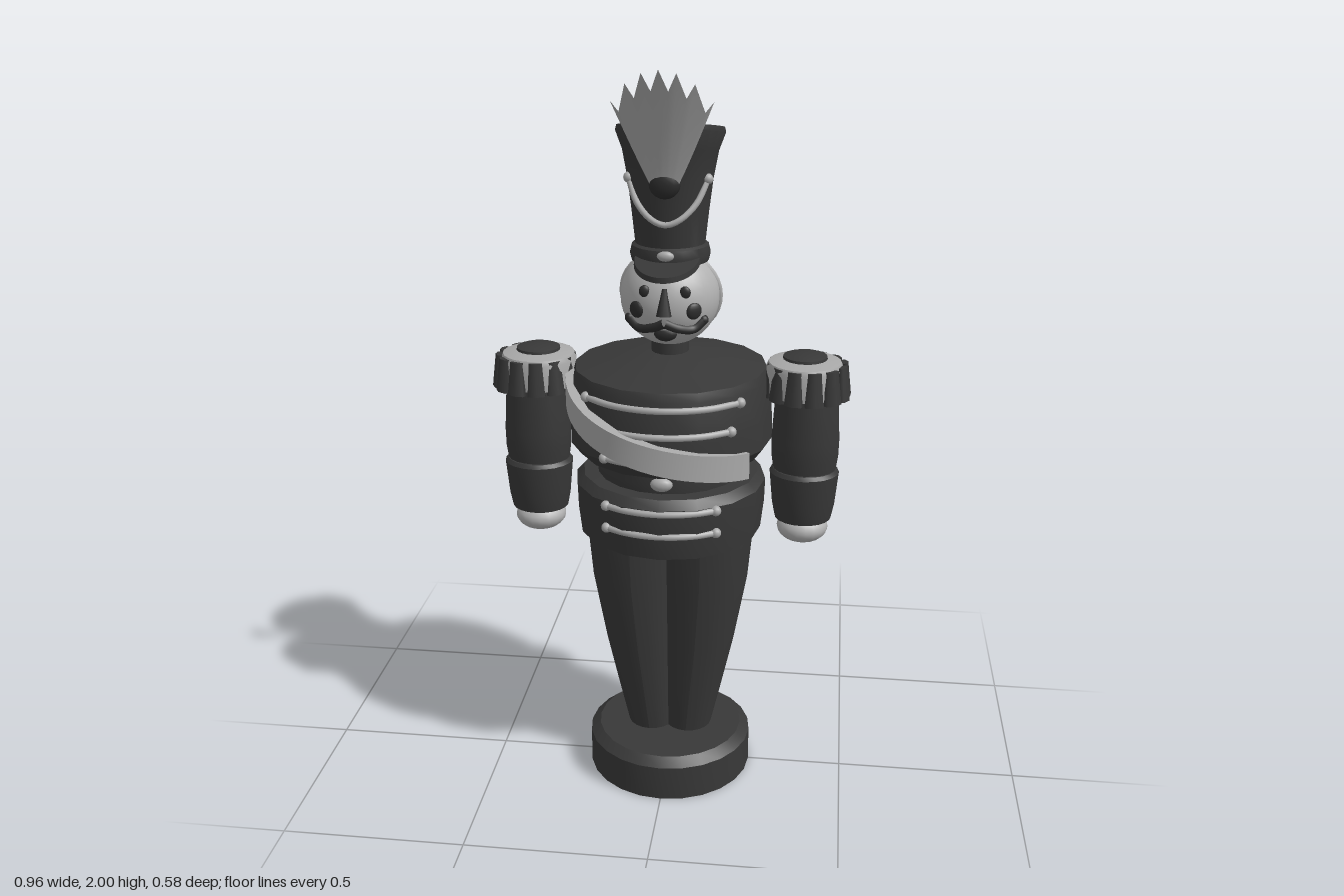
import * as THREE from 'three';
import { toCreasedNormals } from 'three/addons/utils/BufferGeometryUtils.js';

const mat = (name, color, side = THREE.FrontSide) => {
  const m = new THREE.MeshStandardMaterial({ color, side });
  m.name = name;
  return m;
};

export function createModel() {
  const coat = mat('coat', 0x383838, THREE.DoubleSide);
  const black = mat('black', 0x2c2c2c);
  const skin = mat('skin', 0xb2b2b2);
  const trim = mat('trim', 0xa8a8a8, THREE.DoubleSide);
  const root = new THREE.Group();

  const add = (name, geo, material, x = 0, y = 0, z = 0, parent = root) => {
    const m = new THREE.Mesh(geo, material);
    m.name = name;
    m.position.set(x, y, z);
    parent.add(m);
    return m;
  };
  // Turned profile, listed from bottom to top as [radius, height]
  const turned = (pts, seg = 20) => toCreasedNormals(
    new THREE.LatheGeometry(pts.map(p => new THREE.Vector2(...p)), seg), 0.6);
  const ball = (name, r, material, p, scale = [1, 1, 1]) => {
    const m = add(name, new THREE.SphereGeometry(r, 14, 10), material, ...p);
    m.scale.set(...scale);
    return m;
  };
  const tube = (name, pts, r, material) => add(name, new THREE.TubeGeometry(
    new THREE.CatmullRomCurve3(pts.map(p => new THREE.Vector3(...p))), 24, r, 8), material);

  // Round base, hollow underneath
  add('base', turned([[0.232, 0], [0.232, 0.1], [0.205, 0.122], [0, 0.122]], 24), coat);

  // Legs: tapering columns leaning outwards to the hips
  const rows = [[0.11, 0.052, 0.065], [0.25, 0.065, 0.084], [0.4, 0.08, 0.102],
    [0.6, 0.094, 0.124], [0.78, 0.098, 0.136]];
  for (const s of [1, -1]) {
    const g = new THREE.LatheGeometry(rows.map(r => new THREE.Vector2(r[2], r[0])), 20);
    const p = g.attributes.position;
    for (let i = 0; i < p.count; i++) {
      p.setX(i, p.getX(i) + s * rows[i % rows.length][1]);
    }
    g.computeVertexNormals();
    add(s > 0 ? 'leftLeg' : 'rightLeg', g, coat);
  }

  // Coat
  add('coatSkirt', turned([[0, 0.752], [0.25, 0.752], [0.259, 0.83], [0.261, 0.895],
    [0.24, 0.918], [0, 0.925]], 16), coat, 0, 0, -0.008);
  add('waist', turned([[0.197, 0.91], [0.2, 0.94], [0.197, 0.99]], 20), coat, 0, 0, -0.005);
  add('chest', turned([[0, 0.965], [0.2, 0.967], [0.25, 0.98], [0.276, 1.015], [0.274, 1.08],
    [0.266, 1.19], [0.258, 1.213], [0.16, 1.235], [0.06, 1.256], [0, 1.257]], 16), coat, 0, 0, -0.014);
  add('neck', turned([[0.05, 1.24], [0.05, 1.31]], 16), coat);
  ball('buckle', 0.03, trim, [0, 0.945, 0.19], [1, 0.65, 0.6]);

  // Horizontal braids with end knobs: height, half width, radius
  const braids = [[1.17, 0.2, 0.265], [1.1, 0.18, 0.27], [1.025, 0.145, 0.275],
    [0.885, 0.145, 0.262], [0.82, 0.145, 0.258]];
  for (const [y, w, r] of braids) {
    const at = x => [x, y, Math.sqrt(r * r - x * x) - 0.012];
    tube('braid', [-1, -0.66, -0.33, 0, 0.33, 0.66, 1].map(k => at(k * w)), 0.009, trim);
    for (const s of [-1, 1]) ball('braidKnob', 0.014, trim, at(s * w));
  }

  // Sash: rectangular section swept around the chest
  const pos = [], idx = [], n = 24;
  for (let i = 0; i <= n; i++) {
    const t = i / n, a = THREE.MathUtils.degToRad(-82 + 136 * t);
    const y = 1.165 - 0.17 * t - 0.02 * Math.sin(Math.PI * t);
    const r = 0.28 + 0.014 * Math.sin(Math.PI * t);
    for (const [dr, dy] of [[0, 0.036], [0, -0.036], [-0.035, -0.036], [-0.035, 0.036]]) {
      pos.push(Math.sin(a) * (r + dr), y + dy, Math.cos(a) * (r + dr) - 0.008);
    }
    if (i < n) for (let k = 0; k < 4; k++) {
      const p = i * 4 + k, q = i * 4 + (k + 1) % 4;
      idx.push(p, q, p + 4, q, q + 4, p + 4);
    }
  }
  idx.push(0, 3, 1, 1, 3, 2, n * 4, n * 4 + 1, n * 4 + 3, n * 4 + 1, n * 4 + 2, n * 4 + 3);
  const sash = new THREE.BufferGeometry();
  sash.setAttribute('position', new THREE.Float32BufferAttribute(pos, 3));
  sash.setIndex(idx);
  add('sash', toCreasedNormals(sash, 0.6), trim);

  // Arms with cuffs, hands and fringed epaulettes
  for (const s of [1, -1]) {
    const arm = new THREE.Group();
    arm.name = s > 0 ? 'leftArm' : 'rightArm';
    arm.position.set(s * 0.366, 0, -0.006);
    root.add(arm);
    const sleeve = add('sleeve', turned([[0.08, 0.9], [0.09, 0.97], [0.091, 1.02],
      [0.086, 1.1], [0.08, 1.2]]), coat, 0, 0, 0, arm);
    sleeve.scale.z = 0.86;
    const cuff = add('cuff', turned([[0, 0.79], [0.077, 0.79], [0.085, 0.83], [0.094, 0.925],
      [0.086, 0.935], [0, 0.935]]), coat, 0, 0, 0, arm);
    cuff.scale.z = 0.93;
    const hand = add('hand', new THREE.SphereGeometry(0.07, 18, 12), skin, 0, 0.762, 0, arm);
    hand.scale.y = 0.62;
    add('epaulette', turned([[0, 1.15], [0.1, 1.15], [0.102, 1.222], [0.096, 1.235],
      [0.06, 1.243], [0, 1.243]], 24), trim, -s * 0.008, 0, 0, arm);
    add('epauletteCap', turned([[0.06, 1.235], [0.058, 1.25], [0.04, 1.256], [0, 1.258]]),
      coat, -s * 0.008, 0, 0, arm);
    for (let i = 0; i < 12; i++) {
      const a = i / 12 * Math.PI * 2 + 0.2;
      const f = add('fringe', new THREE.CylinderGeometry(0.02, 0.027, 0.09, 6), coat,
        Math.sin(a) * 0.1, 1.186, Math.cos(a) * 0.1, arm);
      f.scale.z = 0.55;
      f.rotation.order = 'YXZ';
      f.rotation.set(-0.08, a, 0);
    }
  }

  // Head and face
  const headY = 1.405, headR = 0.13;
  const onHead = (x, y, out = 0) => {
    const d = y - headY;
    return [x, y, Math.sqrt(headR * headR - x * x - d * d) + out];
  };
  add('head', new THREE.SphereGeometry(headR, 28, 20), skin, 0, headY, 0);
  const strap = add('headStrap', new THREE.TorusGeometry(0.126, 0.011, 8, 36), skin, 0, headY, -0.02);
  strap.rotation.x = 0.3;
  const nose = add('nose', new THREE.CylinderGeometry(0.006, 0.02, 0.07, 8), black, 0, 1.417, 0.128);
  nose.rotation.x = -0.2;
  for (const s of [1, -1]) {
    ball('eye', 0.016, black, onHead(s * 0.052, 1.442), [0.9, 1, 0.5]);
    ball('cheek', 0.022, black, onHead(s * 0.074, 1.392), [1, 1, 0.4]).rotation.y = s * 0.6;
    tube('moustache', [onHead(0, 1.362), onHead(s * 0.035, 1.346), onHead(s * 0.07, 1.341),
      onHead(s * 0.096, 1.362)], 0.013, black);
    ball('moustacheTip', 0.013, black, onHead(s * 0.096, 1.362));
  }
  ball('goatee', 0.03, black, onHead(0, 1.328, -0.004), [1, 0.65, 0.5]);

  // Tall hat: flaring upwards, with a top that rises to the front
  const hat = new THREE.LatheGeometry([[0, 1.5], [0.1, 1.5], [0.105, 1.52], [0.1, 1.541],
    [0.091, 1.546], [0.1, 1.63], [0.11, 1.71], [0.123, 1.78], [0.14, 1.825], [0.137, 1.838],
    [0, 1.84]].map(p => new THREE.Vector2(...p)), 28);
  const hp = hat.attributes.position;
  for (let i = 0; i < hp.count; i++) {
    const k = Math.max(0, (hp.getY(i) - 1.6) / 0.24);
    let z = hp.getZ(i);
    if (z > 0) z *= 1 + 0.12 * k;
    hp.setZ(i, z - 0.005 - 0.008 * k);
    hp.setY(i, hp.getY(i) + k * 0.19 * z);
  }
  add('hat', toCreasedNormals(hat, 0.6), coat);
  const visor = add('visor', new THREE.CylinderGeometry(0.083, 0.085, 0.014, 20, 1, false,
    -Math.PI / 2, Math.PI), coat, 0, 1.513, 0.06);
  visor.scale.z = 1.5;
  visor.rotation.x = 0.2;
  ball('hatBadge', 0.022, trim, [0, 1.53, 0.1], [1, 0.6, 0.5]);

  // Cord hanging across the hat front
  tube('hatCord', [[-0.1, 1.715, 0.042], [-0.075, 1.66, 0.075], [-0.035, 1.622, 0.1],
    [0, 1.61, 0.104], [0.035, 1.622, 0.1], [0.075, 1.66, 0.075], [0.1, 1.715, 0.042]], 0.008, trim);
  for (const s of [-1, 1]) ball('cordKnob', 0.014, trim, [s * 0.1, 1.717, 0.042]);

  // Feather plume: a fan with a toothed upper edge, leaning forwards
  const plume = new THREE.PlaneGeometry(2, 1, 12, 8);
  const pp = plume.attributes.position;
  for (let i = 0; i < pp.count; i++) {
    const s = pp.getX(i), t = pp.getY(i) + 0.5, notch = i % 13 % 2;
    const len = 0.31 - 0.08 * s * s - notch * 0.05;
    pp.setXYZ(i, s * (0.022 + 0.103 * Math.pow(t, 0.9)), 1.69 + t * len,
      0.12 + 0.115 * Math.pow(t * len / 0.31, 1.2) - 0.035 * s * s * t);
  }
  plume.computeVertexNormals();
  add('plume', plume, trim);
  ball('plumeSocket', 0.04, black, [0, 1.715, 0.115], [1, 0.95, 0.5]);

  return root;
}
